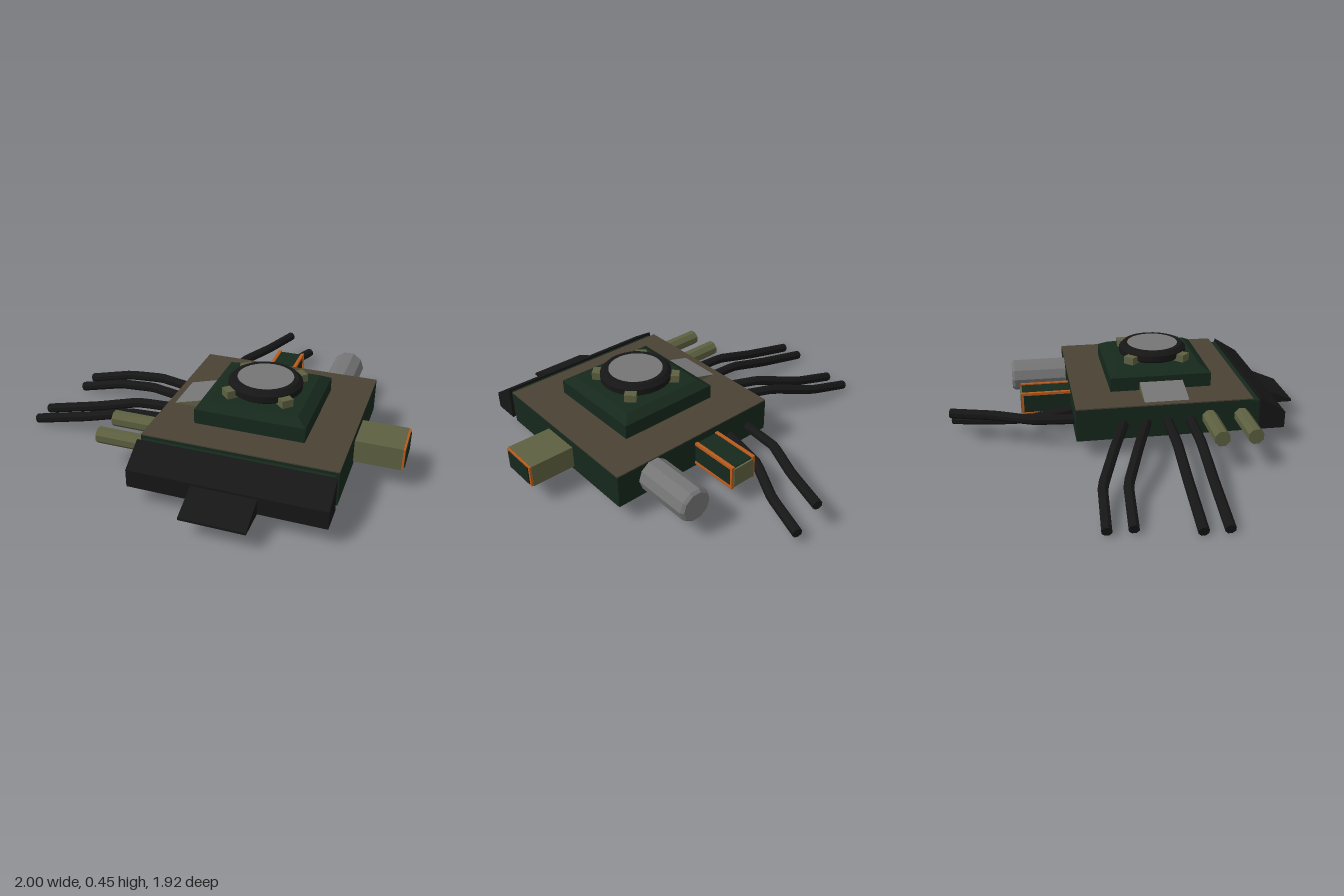
import * as THREE from 'three';
import { toCreasedNormals } from 'three/addons/utils/BufferGeometryUtils.js';

const mat = (color, flatShading = true) => new THREE.MeshStandardMaterial({ color, flatShading });

export function createModel() {
  const model = new THREE.Group();
  const green = mat(0x16281c), brown = mat(0x4a4234), black = mat(0x161616);
  const olive = mat(0x5c6040), grey = mat(0x757575), orange = mat(0xb85a1c);

  const add = (name, geometry, material, parent = model) => {
    const mesh = new THREE.Mesh(geometry, material);
    mesh.name = name;
    parent.add(mesh);
    return mesh;
  };

  // Box given by its limits on each axis
  const box = (name, x0, x1, y0, y1, z0, z1, material, parent) => {
    const g = new THREE.BoxGeometry(x1 - x0, y1 - y0, z1 - z0);
    g.translate((x0 + x1) / 2, (y0 + y1) / 2, (z0 + z1) / 2);
    return add(name, g, material, parent);
  };

  const shapeOf = (pts) => new THREE.Shape(pts.map(([x, y]) => new THREE.Vector2(x, y)));

  // Profile of (z, y) points stretched from x0 to x1
  const extrudeX = (name, pts, x0, x1, material) => {
    const g = new THREE.ExtrudeGeometry(shapeOf(pts), { depth: x1 - x0, bevelEnabled: false });
    g.rotateY(-Math.PI / 2).translate(x1, 0, 0);
    return add(name, g, material);
  };

  // Main body with its cover plate
  box('body', -0.2, 0.755, 0.1, 0.274, -0.31, 0.62, green);
  box('topPlate', -0.2, 0.755, 0.274, 0.28, -0.31, 0.62, brown);
  box('bumperNeck', -0.185, 0.74, 0.105, 0.26, 0.62, 0.66, green);

  // Sloping front bumper and its tongue
  extrudeX('bumper', [[0.66, 0.1], [0.8, 0.1], [0.8, 0.19], [0.665, 0.275], [0.66, 0.275]], -0.2, 0.755, black);
  extrudeX('bumperTongue', [[0.8, 0.1], [0.955, 0.1], [0.955, 0.112], [0.8, 0.178]], 0.12, 0.435, black);

  // Raised block: straight sides and a chamfered top
  const cx = 0.275, cz = 0.167;
  box('raisedBlock', 0, 0.55, 0.28, 0.355, -0.106, 0.44, green);
  const chamfer = new THREE.BoxGeometry(0.55, 0.03, 0.546);
  const p = chamfer.attributes.position;
  for (let i = 0; i < p.count; i++) {
    if (p.getY(i) > 0) p.setXYZ(i, p.getX(i) * 0.82, p.getY(i), p.getZ(i) * 0.82);
  }
  add('raisedBlockChamfer', chamfer, green).position.set(cx, 0.37, cz);

  // Round button: ring, disc and four clips
  const ringProfile = [[0.14, 0.385], [0.165, 0.385], [0.185, 0.4], [0.185, 0.43], [0.165, 0.45], [0.14, 0.45]]
    .map(([r, y]) => new THREE.Vector2(r, y));
  const ring = toCreasedNormals(new THREE.LatheGeometry(ringProfile, 28), 0.5);
  add('buttonRing', ring, mat(0x161616, false)).position.set(cx, 0, cz);
  const disc = toCreasedNormals(new THREE.CylinderGeometry(0.14, 0.14, 0.065, 28), 0.5);
  add('buttonDisc', disc, mat(0x757575, false)).position.set(cx, 0.4185, cz);
  for (let i = 0; i < 4; i++) {
    const clip = new THREE.Group();
    clip.name = 'buttonClip';
    clip.position.set(cx, 0, cz);
    clip.rotation.y = Math.PI / 4 + i * Math.PI / 2;
    box('clip', 0.16, 0.225, 0.385, 0.425, -0.03, 0.03, olive, clip);
    model.add(clip);
  }

  // Ramp beside the raised block: olive sides under a grey slope
  const ramp = new THREE.ExtrudeGeometry(shapeOf([[-0.165, 0.28], [0, 0.28], [0, 0.325]]),
    { depth: 0.235, bevelEnabled: false });
  add('ramp', ramp, [olive, grey]).position.z = 0.05;

  // Side plug with a trimmed end
  box('sidePlug', 0.755, 0.985, 0.12, 0.236, 0.062, 0.272, olive);
  box('sidePlugTrim', 0.985, 0.995, 0.122, 0.234, 0.064, 0.27, orange);
  box('sidePlugEnd', 0.995, 1, 0.13, 0.226, 0.078, 0.256, green);

  // Rear plug: dark core, olive end, orange bars along the edges
  box('rearPlug', 0.142, 0.283, 0.12, 0.235, -0.57, -0.31, green);
  box('rearPlugEnd', 0.15, 0.275, 0.125, 0.23, -0.58, -0.57, olive);
  for (const x of [0.136, 0.27]) {
    for (const y of [0.114, 0.227]) box('rearPlugEdge', x, x + 0.018, y, y + 0.014, -0.575, -0.31, orange);
    box('rearPlugCorner', x, x + 0.018, 0.114, 0.241, -0.575, -0.563, orange);
  }

  // Rear cylinder, ten-sided with a chamfered end
  const barrel = new THREE.LatheGeometry(
    [[0, 0], [0.087, 0], [0.087, 0.295], [0.075, 0.31], [0, 0.31]].map(([r, y]) => new THREE.Vector2(r, y)),
    10, Math.PI / 2);
  barrel.rotateX(-Math.PI / 2);
  add('rearCylinder', barrel, grey).position.set(0.547, 0.19, -0.31);

  // Two short pipes
  for (const z of [0.388, 0.56]) {
    const pipe = new THREE.CylinderGeometry(0.042, 0.042, 0.26, 8, 1, false, Math.PI / 8);
    pipe.rotateZ(Math.PI / 2);
    add('sidePipe', pipe, olive).position.set(-0.33, 0.19, z);
  }

  // Wires: a polygon section swept along bent paths
  const section = shapeOf([...Array(8).keys()].map((i) => {
    const a = (i + 0.5) * Math.PI / 4;
    return [Math.cos(a) * 0.026, Math.sin(a) * 0.026];
  }));
  const wire = (name, pts) => {
    const path = new THREE.CurvePath();
    const v = pts.map((q) => new THREE.Vector3(...q));
    for (let i = 1; i < v.length; i++) path.add(new THREE.LineCurve3(v[i - 1], v[i]));
    add(name, new THREE.ExtrudeGeometry(section, { steps: 16, bevelEnabled: false, extrudePath: path }), black);
  };
  for (const z of [0.167, 0.287]) {
    wire('straightSideWire', [[-0.19, 0.18, z], [-0.43, 0.17, z], [-0.68, 0.1, z], [-0.995, 0.027, z]]);
  }
  for (const z of [0, 0.12]) {
    wire('bentSideWire', [[-0.18, 0.18, z - 0.06], [-0.43, 0.165, z - 0.145],
      [-0.675, 0.1, z - 0.235], [-0.935, 0.03, z - 0.25]]);
  }
  wire('upperRearWire', [[-0.075, 0.17, -0.3], [-0.055, 0.17, -0.52], [0.035, 0.17, -0.72], [0.11, 0.165, -0.955]]);
  wire('lowerRearWire', [[0.05, 0.17, -0.3], [0.065, 0.125, -0.52], [0.16, 0.085, -0.72], [0.235, 0.07, -0.955]]);

  return model;
}
